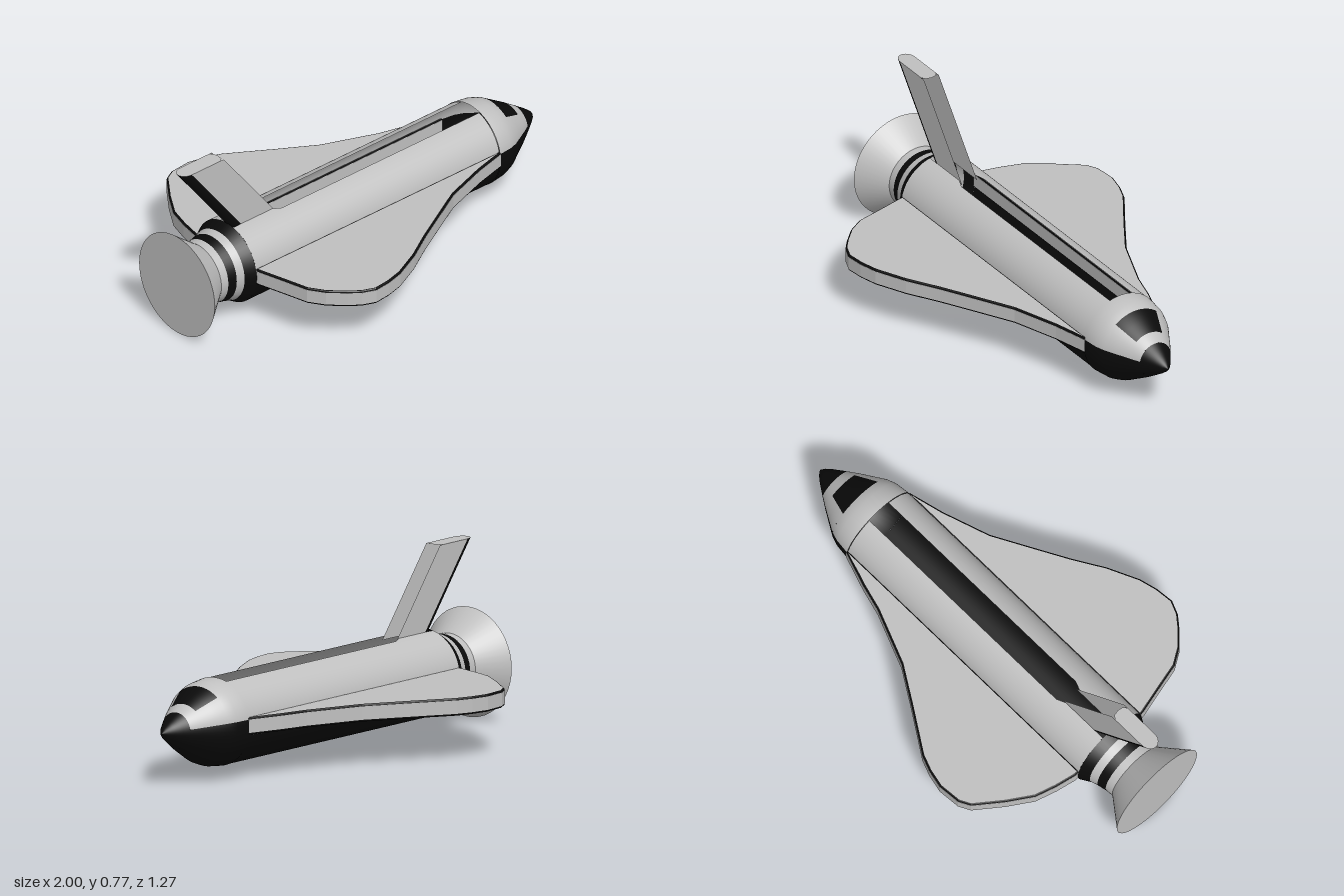
import * as THREE from 'three';

const CY = 0.234; // height of the fuselage axis
const LOW = THREE.MathUtils.degToRad(9.5); // paint line between upper and lower hull
const PI = Math.PI;

// Body radius along x
const PROFILE = [[-0.72, 0.185], [0.65, 0.185], [0.651, 0.187], [0.72, 0.179], [0.76, 0.165],
  [0.86, 0.106], [0.905, 0.077], [0.96, 0.04], [0.985, 0.02], [1, 0]];

function radius(x) {
  for (let i = 1; i < PROFILE.length; i++) {
    const [x0, r0] = PROFILE[i - 1], [x1, r1] = PROFILE[i];
    if (x <= x1) return r0 + (r1 - r0) * (x - x0) / (x1 - x0);
  }
  return 0;
}

function surface(pos, idx, normals) {
  const g = new THREE.BufferGeometry();
  g.setAttribute('position', new THREE.Float32BufferAttribute(pos, 3));
  g.setIndex(idx);
  if (normals) g.setAttribute('normal', new THREE.Float32BufferAttribute(normals, 3));
  else g.computeVertexNormals();
  return g;
}

// Grid of (rows x cols) points turned into triangles
function gridIndex(rows, cols) {
  const idx = [];
  for (let i = 0; i < rows - 1; i++) for (let j = 0; j < cols - 1; j++) {
    const a = i * cols + j, b = a + cols;
    idx.push(a, b, a + 1, b, b + 1, a + 1);
  }
  return idx;
}

// Skin panel of the body between two angles (0 = +z side, 90 degrees = top)
function shell(xs, from, to, segs = 32) {
  const pos = [], nor = [];
  for (const x of xs) {
    const r = radius(x), a0 = from(x), a1 = to(x);
    const slope = x < 0.66 ? 0 : (radius(Math.min(1, x + 0.02)) - radius(x - 0.02)) / (Math.min(1, x + 0.02) - x + 0.02);
    for (let j = 0; j <= segs; j++) {
      const a = a0 + (a1 - a0) * j / segs;
      pos.push(x, CY + r * Math.sin(a), r * Math.cos(a));
      const n = new THREE.Vector3(-slope, Math.sin(a), Math.cos(a)).normalize();
      nor.push(n.x, n.y, n.z);
    }
  }
  return surface(pos, gridIndex(xs.length, segs + 1), nor);
}

export function createModel() {
  const model = new THREE.Group();
  const grey = new THREE.MeshStandardMaterial({ color: 0xc0c0c0, side: THREE.DoubleSide });
  grey.name = 'light grey';
  const black = new THREE.MeshStandardMaterial({ color: 0x0a0a0a, side: THREE.DoubleSide });
  black.name = 'black';
  const add = (name, geometry, material) => {
    const m = new THREE.Mesh(geometry, material);
    m.name = name;
    model.add(m);
    return m;
  };
  const at = (a) => () => a;

  // Fuselage: black belly, grey sides, open slot along the top
  const hullX = [-0.72, -0.5, -0.46, 0.65];
  const slot = (x) => Math.acos((x < -0.48 ? 0.04 : 0.056) / radius(x));
  add('belly', shell([-0.72, 0.65], at(PI - LOW), at(2 * PI + LOW), 48), black);
  add('leftSide', shell(hullX, at(LOW), slot, 20), grey);
  add('rightSide', shell(hullX, (x) => PI - slot(x), at(PI - LOW), 20), grey);

  // Nose with windscreen and black tip
  const noseA = [0.651, 0.72, 0.76], noseB = [0.76, 0.81, 0.86], noseC = [0.86, 0.905];
  const w0 = THREE.MathUtils.degToRad(52), w1 = PI - w0;
  add('noseTop', shell(noseA, at(LOW), at(PI - LOW)), grey);
  add('noseCheekLeft', shell(noseB, at(LOW), at(w0), 12), grey);
  add('windscreen', shell(noseB, at(w0), at(w1), 20), black);
  add('noseCheekRight', shell(noseB, at(w1), at(PI - LOW), 12), grey);
  add('noseFront', shell(noseC, at(LOW), at(PI - LOW)), grey);
  add('noseBelly', shell([...noseA, 0.81, 0.86, 0.905], at(PI - LOW), at(2 * PI + LOW)), black);
  add('noseTip', shell([0.905, 0.93, 0.96, 0.985, 1], at(0), at(2 * PI), 48), black);

  // Tail bands and engine bell: [name, rear x, rear radius, front x, front radius, material]
  const rear = [
    ['rearBandBlack', -0.765, 0.16, -0.72, 0.185, black],
    ['rearBandGrey', -0.8, 0.15, -0.765, 0.16, grey],
    ['engineBandBlack', -0.84, 0.142, -0.8, 0.15, black],
    ['engineCollar', -0.877, 0.14, -0.84, 0.142, grey],
    ['engineBell', -1, 0.234, -0.877, 0.14, grey],
  ];
  for (const [name, x0, r0, x1, r1, mat] of rear) {
    const g = new THREE.CylinderGeometry(r1, r0, x1 - x0, 48, 1, name !== 'engineBell');
    g.rotateZ(-PI / 2);
    g.translate((x0 + x1) / 2, CY, 0);
    add(name, g, mat);
  }

  // Wings: grey skins, black bevelled edges and a grey rim band
  const outlines = {
    left: [[0.655, 0.187], [0.5, 0.225], [0.29, 0.294], [0.11, 0.39], [-0.02, 0.46], [-0.155, 0.54], [-0.29, 0.602],
      [-0.37, 0.622], [-0.45, 0.63], [-0.51, 0.605], [-0.556, 0.568], [-0.62, 0.505], [-0.663, 0.435], [-0.69, 0.315], [-0.717, 0.2]],
    right: [[0.655, 0.187], [0.5, 0.24], [0.38, 0.273], [0.14, 0.37], [-0.02, 0.47], [-0.21, 0.593], [-0.28, 0.62],
      [-0.36, 0.638], [-0.46, 0.63], [-0.51, 0.604], [-0.6, 0.49], [-0.67, 0.385], [-0.7, 0.29], [-0.72, 0.2]],
  };
  for (const [side, pts] of Object.entries(outlines)) {
    const s = side === 'left' ? 1 : -1;
    const shape = new THREE.Shape([...pts, [-0.72, 0.177], [0.655, 0.177]]
      .map(([x, z]) => new THREE.Vector2(x, s * z)));
    const lay = (opts, top) => new THREE.ExtrudeGeometry(shape, opts).rotateX(PI / 2).translate(0, top, 0);
    add(side + 'Wing', lay({ depth: 0.059, bevelThickness: 0.008, bevelSize: 0.007, bevelOffset: -0.008,
      bevelSegments: 3 }, 0.267), [grey, black]);
    add(side + 'WingRim', lay({ depth: 0.057, bevelEnabled: false }, 0.266), grey);
  }

  // Tail fin: swept hollow blade, open at the front, black rounded trailing edge
  const FIN_TOP = 0.768, FIN_BASE = 0.4, SWEEP = 0.78, HALF = 0.037;
  const blade = (pts) => {
    const pos = [];
    for (const y of [FIN_BASE, FIN_TOP])
      for (const [x, z] of pts) pos.push(x + (FIN_TOP - y) * SWEEP, y, z);
    return surface(pos, gridIndex(2, pts.length));
  };
  const back = [];
  for (let i = 0; i <= 12; i++) {
    const a = PI * i / 12;
    back.push([-0.95 - 0.045 * Math.sin(a), HALF * Math.cos(a)]);
  }
  add('finLeftSide', blade([[-0.77, HALF], [-0.95, HALF]]), grey);
  add('finRightSide', blade([[-0.95, -HALF], [-0.77, -HALF]]), grey);
  add('finTrailingEdge', blade(back), black);
  const capShape = new THREE.Shape([...back, [-0.79, -HALF], [-0.773, -0.025], [-0.768, 0], [-0.773, 0.025], [-0.79, HALF]]
    .map(([x, z]) => new THREE.Vector2(x, z)));
  add('finCap', new THREE.ShapeGeometry(capShape).rotateX(-PI / 2).translate(0, FIN_TOP, 0), grey);

  return model;
}
